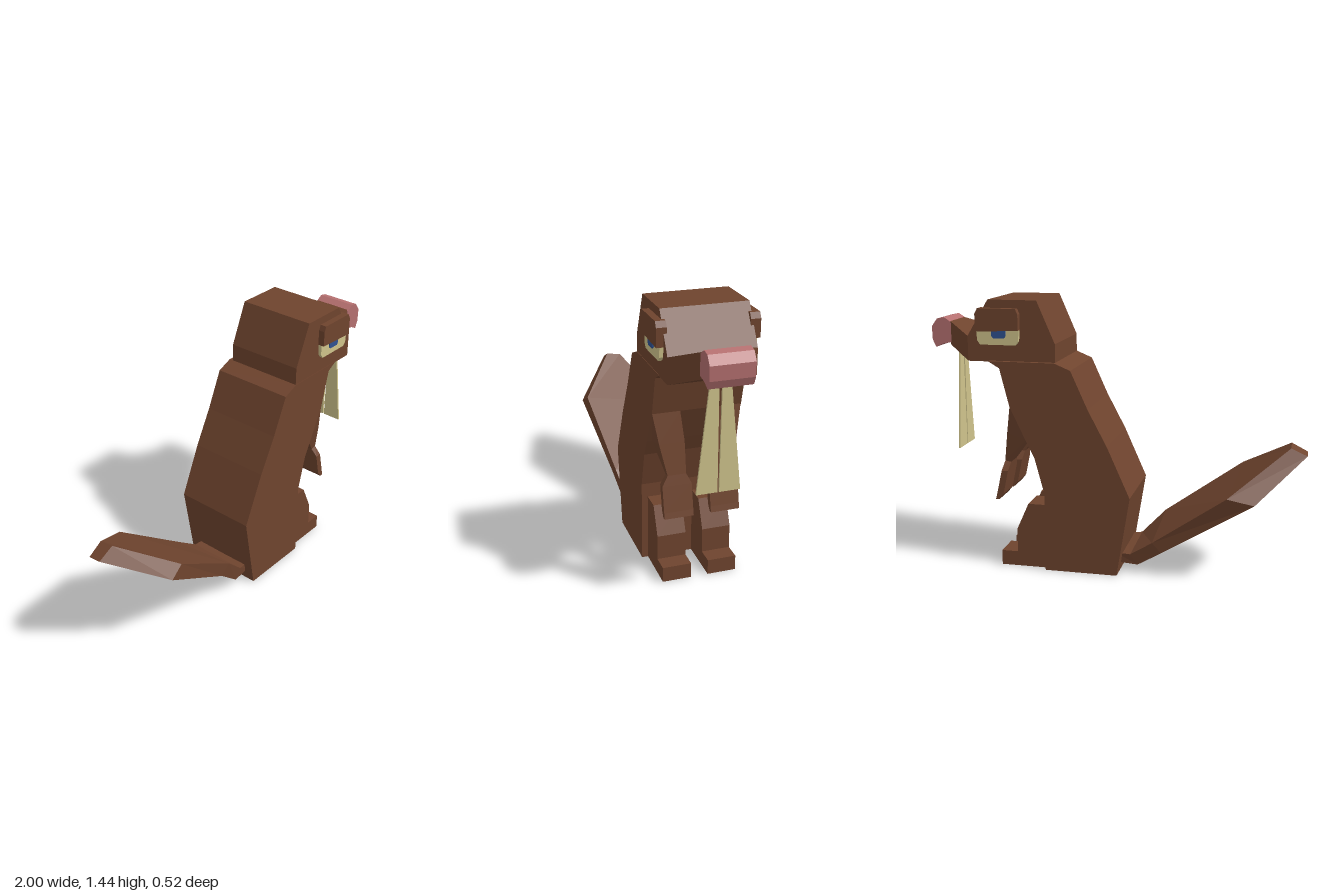
import * as THREE from 'three';

const mat = (name, color) => {
  const m = new THREE.MeshStandardMaterial({ color });
  m.name = name;
  return m;
};

export function createModel() {
  const fur = mat('brownFur', 0x6f442e);
  const ivory = mat('ivory', 0xd0c48c);
  const pink = mat('pinkNose', 0xb57070);
  const blue = mat('blueIris', 0x2f5293);
  const model = new THREE.Group();
  model.name = 'beaver';

  const add = (name, geometry, material) => {
    const mesh = new THREE.Mesh(geometry, material);
    mesh.name = name;
    model.add(mesh);
    return mesh;
  };

  // Side profile in x, y given thickness between two z values
  const slab = (name, points, z0, z1, material) => {
    const shape = new THREE.Shape(points.map(([x, y]) => new THREE.Vector2(x, y)));
    const g = new THREE.ExtrudeGeometry(shape, { depth: z1 - z0, bevelEnabled: false });
    g.translate(0, 0, z0);
    return add(name, g, material);
  };

  // Flat-faced skin over four-cornered sections, wound around the direction of travel
  const loft = (name, sections, material) => {
    const index = [];
    for (let s = 0; s < sections.length - 1; s++) {
      for (let j = 0; j < 4; j++) {
        const a = s * 4 + j, b = s * 4 + (j + 1) % 4;
        index.push(a, b, b + 4, a, b + 4, a + 4);
      }
    }
    const e = (sections.length - 1) * 4;
    index.push(0, 2, 1, 0, 3, 2, e, e + 1, e + 2, e, e + 2, e + 3);
    let g = new THREE.BufferGeometry();
    g.setAttribute('position', new THREE.Float32BufferAttribute(sections.flat(2), 3));
    g.setIndex(index);
    g = g.toNonIndexed();
    g.computeVertexNormals();
    return add(name, g, material);
  };

  // Body
  slab('body', [
    [-0.04, 0], [0.35, 0], [0.35, 0.43], [0.4, 0.62], [0.445, 0.71], [0.53, 0.89],
    [0.58, 1.09], [0.64, 1.125], [0.285, 1.125], [0.2, 1.09], [0.11, 0.89], [0.01, 0.7], [-0.11, 0.43],
  ], -0.248, 0.207, fur);

  // Head
  slab('head', [
    [0.285, 1.12], [0.755, 1.12], [0.755, 1.25], [0.64, 1.44], [0.38, 1.44], [0.285, 1.22],
  ], -0.225, 0.205, fur);

  // Muzzle tapering toward the nose
  const muzzleSection = (x, y0, y1, half) => [
    [x, y0, -0.01 - half], [x, y1, -0.01 - half], [x, y1, -0.01 + half], [x, y0, -0.01 + half],
  ];
  loft('muzzle', [
    muzzleSection(0.755, 1.12, 1.25, 0.215),
    muzzleSection(0.895, 1.185, 1.31, 0.1),
  ], fur);

  // Nose
  slab('nose', [
    [0.88, 1.2], [0.94, 1.19], [0.98, 1.17], [0.998, 1.21], [1, 1.28],
    [0.97, 1.322], [0.93, 1.33], [0.89, 1.305],
  ], -0.113, 0.1, pink);

  for (const side of [1, -1]) {
    const label = side > 0 ? 'Right' : 'Left';
    const span = (centre, near, far) =>
      [centre + side * near, centre + side * far].sort((a, b) => a - b);

    // Long front tooth, widening downward
    const [t0, t1] = span(-0.003, 0.008, 0.046);
    const [b0, b1] = span(-0.003, 0.004, 0.108);
    const tooth = (y, z0, z1) => [[0.866, y, z0], [0.876, y, z0], [0.876, y, z1], [0.866, y, z1]];
    loft('tooth' + label, [tooth(1.2, t0, t1), tooth(0.615, b0, b1)], ivory);

    // Eye, iris and heavy lid
    const plate = (name, points, far, material) =>
      slab(name + label, points, ...span(-0.01, 0.2, far), material);
    plate('eye', [
      [0.47, 1.29], [0.475, 1.23], [0.49, 1.21], [0.68, 1.21], [0.695, 1.23], [0.7, 1.29],
    ], 0.234, ivory);
    plate('iris', [
      [0.54, 1.288], [0.54, 1.257], [0.55, 1.245], [0.607, 1.245], [0.617, 1.257], [0.617, 1.288],
    ], 0.24, blue);
    plate('eyelid', [
      [0.47, 1.288], [0.7, 1.278], [0.7, 1.37], [0.685, 1.398], [0.482, 1.398], [0.47, 1.37],
    ], 0.25, fur);

    // Hind leg with foot
    slab('hindLeg' + label, [
      [0.34, 0], [0.605, 0], [0.605, 0.08], [0.515, 0.08], [0.515, 0.21], [0.45, 0.355], [0.34, 0.355],
    ], ...span(-0.02, 0.045, 0.195), fur);

    // Arm and hand
    const arm = ([xb, yb], [xf, yf], near, far) => {
      const [z0, z1] = span(-0.02, near, far);
      return [[xb, yb, z0], [xf, yf, z0], [xf, yf, z1], [xb, yb, z1]];
    };
    loft('arm' + label, [
      arm([0.43, 0.87], [0.53, 0.89], 0.085, 0.226),
      arm([0.45, 0.71], [0.556, 0.74], 0.07, 0.2),
      arm([0.55, 0.575], [0.583, 0.58], 0.07, 0.165),
      arm([0.56, 0.53], [0.595, 0.53], 0.045, 0.195),
      arm([0.588, 0.4], [0.624, 0.4], 0.045, 0.195),
      arm([0.612, 0.37], [0.632, 0.37], 0.045, 0.195),
    ], fur);
  }

  // Broad flat tail, slightly rolled to one side
  loft('tail', [
    [[-0.02, 0.1, 0.15], [-0.02, 0.1, -0.17], [-0.02, 0.05, -0.17], [-0.02, 0.05, 0.15]],
    [[-0.1, 0.108, 0.16], [-0.1, 0.1, -0.18], [-0.14, 0.045, -0.18], [-0.14, 0.05, 0.16]],
    [[-0.23, 0.24, 0.19], [-0.22, 0.18, -0.2], [-0.27, 0.127, -0.2], [-0.29, 0.19, 0.19]],
    [[-0.65, 0.53, 0.245], [-0.61, 0.46, -0.242], [-0.75, 0.43, -0.232], [-0.73, 0.485, 0.258]],
    [[-0.915, 0.702, 0.05], [-0.915, 0.69, -0.03], [-1, 0.65, -0.02], [-1, 0.658, 0.05]],
  ], fur);

  return model;
}
